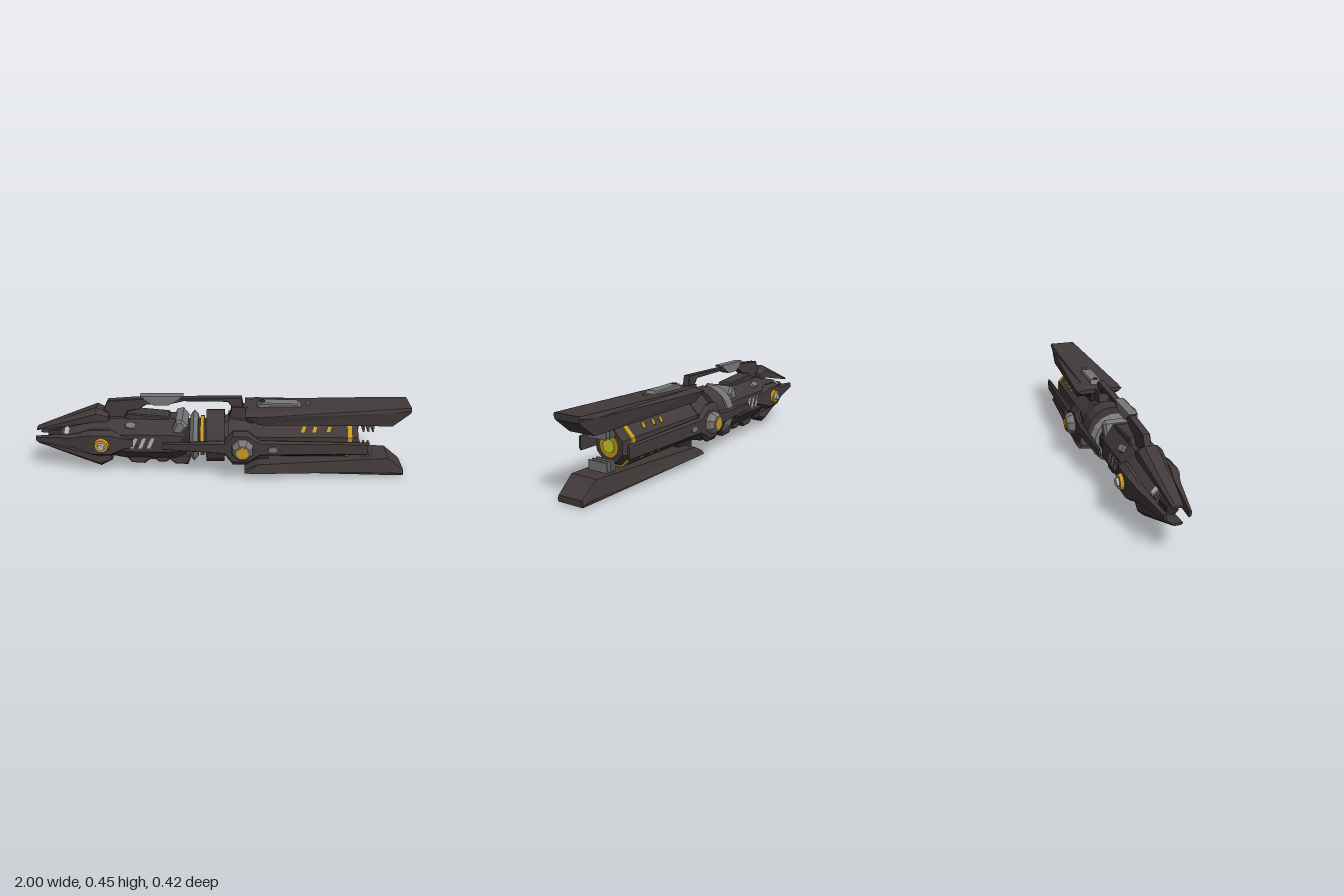
import * as THREE from 'three';

const mat = (name, color, both) => {
  const m = new THREE.MeshStandardMaterial({ color, flatShading: true });
  m.name = name;
  return m;
};

// Skin cross-sections [x, ring of [y, z]]; rings run from +y towards -z.
function loft(sections) {
  const pos = [];
  const P = (s, i) => { const r = s[1][i % s[1].length]; return [s[0], r[0], r[1]]; };
  const tri = (a, b, c) => pos.push(...a, ...b, ...c);
  const n = sections[0][1].length;
  for (let k = 0; k < sections.length - 1; k++) {
    const a = sections[k], b = sections[k + 1];
    for (let i = 0; i < n; i++) {
      tri(P(a, i), P(b, i), P(b, i + 1));
      tri(P(a, i), P(b, i + 1), P(a, i + 1));
    }
  }
  const first = sections[0], last = sections[sections.length - 1];
  for (let i = 1; i < n - 1; i++) {
    tri(P(first, 0), P(first, i), P(first, i + 1));
    tri(P(last, 0), P(last, i + 1), P(last, i));
  }
  const g = new THREE.BufferGeometry();
  g.setAttribute('position', new THREE.Float32BufferAttribute(pos, 3));
  g.computeVertexNormals();
  return g;
}

// Flat profile in x and y, extruded evenly either side of z = 0.
function slab(points, halfDepth, bevel = 0) {
  const shape = new THREE.Shape(points.map(p => new THREE.Vector2(p[0], p[1])));
  const g = new THREE.ExtrudeGeometry(shape, {
    depth: 2 * (halfDepth - bevel), bevelEnabled: bevel > 0,
    bevelThickness: bevel, bevelSize: bevel, bevelOffset: -bevel, bevelSegments: 1,
  });
  return g.translate(0, 0, bevel - halfDepth);
}

// Cylinder along x from x0 to x1, with a flat on top.
function drum(x0, x1, r0, r1 = r0, sides = 8) {
  return new THREE.CylinderGeometry(r1, r0, x1 - x0, sides)
    .rotateY(Math.PI / sides).rotateZ(-Math.PI / 2).translate((x0 + x1) / 2, 0, 0);
}

// Disc or cone stub along z.
const boss = (x, z0, z1, r0, r1, sides = 8) =>
  new THREE.CylinderGeometry(r1, r0, z1 - z0, sides).rotateY(Math.PI / sides)
    .rotateX(Math.PI / 2).translate(x, 0, (z0 + z1) / 2);

const box = (x, y, z, w, h, d) => new THREE.BoxGeometry(w, h, d).translate(x, y, z);

// Bevelled beam section: top, shoulder and underside as [y, half width].
const beam = (x, top, mid, low) => [x, [[top[0], top[1]], [top[0], -top[1]], [mid[0], -mid[1]],
  [low[0], -low[1]], [low[0], low[1]], [mid[0], mid[1]]]];

// Chamfered side plate section: half height h, inner z0, outer z1.
const plate = (x, h, z0, z1) => [x, [[h, z0 + (z1 - z0) * 0.4], [h, z0], [-h, z0],
  [-h, z0 + (z1 - z0) * 0.4], [-h * 0.75, z1], [h * 0.75, z1]]];

const octagon = (x, top, bottom, rz) => {
  const ring = [], c = Math.cos(Math.PI / 8);
  for (let i = 0; i < 8; i++) {
    const a = (i + 0.5) * Math.PI / 4;
    ring.push([(top + bottom) / 2 + (top - bottom) / 2 * Math.cos(a) / c, -rz * Math.sin(a) / c]);
  }
  return [x, ring];
};

export function createModel() {
  const dark = mat('dark metal', 0x423a3a);
  const black = mat('black metal', 0x2c2929);
  const gray = mat('gray metal', 0x777777);
  const light = mat('light gray', 0xb4b4b4);
  const gold = mat('gold', 0xc99a22);
  const bright = mat('bright yellow', 0xd2d228);

  const root = new THREE.Group();
  root.name = 'device';
  const body = new THREE.Group();
  body.name = 'body';
  body.position.y = 0.207; // everything below is measured from the long axis
  root.add(body);
  const add = (parent, name, geometry, material) => {
    const m = new THREE.Mesh(geometry, material);
    m.name = name;
    parent.add(m);
    return m;
  };
  // Two copies, the second turned half way round the long axis.
  const pair = (name, build) => {
    for (const turn of [0, Math.PI]) {
      const g = new THREE.Group();
      g.name = name;
      g.rotation.x = turn;
      build(g);
      body.add(g);
    }
  };

  // Grip and pommel core
  add(body, 'grip', loft([
    octagon(-0.87, 0.045, -0.045, 0.05), octagon(-0.7, 0.09, -0.085, 0.085),
    octagon(-0.6, 0.115, -0.105, 0.1), octagon(-0.5, 0.122, -0.125, 0.1),
    octagon(-0.24, 0.118, -0.125, 0.1), octagon(-0.19, 0.085, -0.1, 0.085)]), dark);
  add(body, 'pommelCore', drum(-0.94, -0.8, 0.03, 0.045), black);
  add(body, 'pommelRing', drum(-0.845, -0.82, 0.06, 0.062, 16), light);
  add(body, 'fingerRests', slab([[-0.53, -0.1], [-0.49, -0.15], [-0.42, -0.155], [-0.39, -0.13],
    [-0.36, -0.13], [-0.34, -0.145], [-0.3, -0.145], [-0.28, -0.13], [-0.25, -0.157],
    [-0.18, -0.16], [-0.16, -0.1]], 0.05, 0.008), dark);

  // Collars and barrel
  add(body, 'neck', drum(-0.22, 0.06, 0.095, 0.095, 12), black);
  add(body, 'grayCollar', drum(-0.165, -0.145, 0.115, 0.14, 16), gray);
  add(body, 'grayCollarRim', drum(-0.145, -0.122, 0.14, 0.115, 16), gray);
  add(body, 'goldBand', drum(-0.11, -0.09, 0.11, 0.11, 16), gold);
  add(body, 'mainCollar', drum(-0.078, 0.02, 0.14, 0.14, 16).scale(1, 1.04, 0.95), dark);
  add(body, 'barrelRoot', drum(0.04, 0.16, 0.135, 0.115), dark);
  add(body, 'barrel', drum(0.02, 0.675, 0.112), dark);
  add(body, 'muzzleBand', drum(0.675, 0.7, 0.114), gold);
  add(body, 'muzzle', drum(0.7, 0.735, 0.105, 0.085), dark);
  add(body, 'muzzleDisc', drum(0.732, 0.738, 0.055, 0.055, 16), gold);
  add(body, 'muzzleLens', drum(0.735, 0.743, 0.034, 0.034, 16), bright);
  for (let k = 0; k < 4; k++) {
    for (const x of [0.44, 0.5, 0.575]) {
      const slash = slab([[x - 0.014, -0.016], [x + 0.004, -0.016], [x + 0.014, 0.016], [x - 0.004, 0.016]], 0.003);
      add(body, 'barrelSlash', slash.translate(0, 0, 0.105), gold).rotation.x = Math.PI / 4 + k * Math.PI / 2;
    }
  }

  // Long upper and lower blades, with their pommel claws
  pair('bladeSet', g => {
    add(g, 'blade', loft([
      beam(0.13, [0.178, 0.075], [0.17, 0.125], [0.155, 0.11]),
      beam(0.2, [0.184, 0.08], [0.17, 0.128], [0.12, 0.115]),
      beam(0.91, [0.2, 0.078], [0.178, 0.085], [0.098, 0.075]),
      beam(1.0, [0.203, 0.072], [0.192, 0.078], [0.172, 0.07])]), dark);
    add(g, 'bladeInset', slab([[0.19, 0.18], [0.43, 0.186], [0.41, 0.203], [0.21, 0.207]], 0.032, 0.006), gray);
    add(g, 'insetHole', new THREE.CylinderGeometry(0.014, 0.014, 0.004, 8).translate(0.22, 0.208, 0), black);
    add(g, 'bladeStud', new THREE.CylinderGeometry(0.012, 0.014, 0.012, 8).translate(0.465, 0.191, 0), gray);
    add(g, 'bladeStrut', box(0.2, 0.125, 0, 0.12, 0.05, 0.1), black);
    for (const x of [0.765, 0.79, 0.815]) add(g, 'slat', box(x, 0.088, 0, 0.008, 0.07, 0.11), gray);
    add(g, 'pommelClaw', loft([
      beam(-1.0, [0.047, 0.015], [0.042, 0.025], [0.036, 0.025]),
      beam(-0.8, [0.125, 0.025], [0.105, 0.045], [0.075, 0.045]),
      beam(-0.665, [0.177, 0.03], [0.15, 0.058], [0.105, 0.058]),
      beam(-0.6, [0.142, 0.03], [0.13, 0.05], [0.1, 0.05])]), dark);
  });

  // Side fins, side claws and their round bosses
  pair('sideSet', g => {
    add(g, 'sideFin', loft([plate(-0.31, 0.02, 0.13, 0.14), plate(0.02, 0.037, 0.135, 0.157),
      plate(0.065, 0.1, 0.136, 0.164), plate(0.14, 0.1, 0.136, 0.164),
      plate(0.21, 0.044, 0.138, 0.162), plate(0.775, 0.036, 0.142, 0.152)]), dark);
    add(g, 'finMount', box(0.11, 0, 0.12, 0.1, 0.08, 0.05), black);
    add(g, 'finBoss', boss(0.115, 0.16, 0.188, 0.062, 0.056), gray);
    add(g, 'finBossCap', boss(0.115, 0.188, 0.204, 0.056, 0.042), gray);
    add(g, 'finBossDisc', boss(0.115, 0.2, 0.208, 0.031, 0.031, 16), gold);
    add(g, 'finStud', boss(0, -0.004, 0.005, 0.018, 0.016).scale(1.6, 1, 1).translate(0.275, 0, 0.162), gray);
    add(g, 'sideClaw', loft([plate(-1.0, 0.016, 0.05, 0.063), plate(-0.78, 0.042, 0.075, 0.105),
      plate(-0.69, 0.075, 0.085, 0.127), plate(-0.59, 0.075, 0.085, 0.127),
      plate(-0.53, 0.045, 0.085, 0.112), plate(-0.44, 0.02, 0.09, 0.1)]), dark);
    add(g, 'clawBoss', boss(-0.635, 0.122, 0.144, 0.042, 0.036, 16), gold);
    add(g, 'clawBossCap', boss(-0.635, 0.144, 0.157, 0.022, 0.018, 12), light);
    for (const x of [-0.465, -0.42, -0.375]) {
      add(g, 'gripSlash', slab([[x - 0.024, -0.03], [x - 0.004, -0.03], [x + 0.022, 0.03], [x + 0.002, 0.03]], 0.003)
        .translate(0, 0, 0.101), light);
    }
  });
  for (const s of [1, -1]) {
    const stud = add(body, 'gripStud', boss(0, -0.006, 0.006, 0.022, 0.018).scale(1.6, 1, 1), gray);
    stud.position.set(-0.48, 0.095, s * 0.076);
    stud.rotation.x = s > 0 ? -0.85 : Math.PI + 0.85;
  }

  // Guard rail above the grip
  add(body, 'guardRail', slab([[-0.63, 0.16], [-0.605, 0.21], [-0.45, 0.222], [0.11, 0.232], [0.12, 0.18],
    [0.06, 0.175], [0.035, 0.208], [-0.2, 0.21], [-0.28, 0.19], [-0.4, 0.188], [-0.44, 0.16],
    [-0.5, 0.15], [-0.52, 0.11], [-0.6, 0.11]], 0.019, 0.003), dark);
  add(body, 'railPlate', slab([[-0.43, 0.239], [-0.36, 0.187], [-0.28, 0.187], [-0.2, 0.24]], 0.022), gray);
  add(body, 'railFoot', slab([[0.04, 0.1], [0.15, 0.1], [0.14, 0.18], [0.06, 0.18]], 0.028), dark);
  add(body, 'railSaddle', slab([[-0.53, 0.1], [-0.26, 0.1], [-0.28, 0.13], [-0.5, 0.15]], 0.045, 0.006), dark);
  add(body, 'shoulderClamp', slab([[-0.265, 0.055], [-0.215, 0.045], [-0.175, 0.09], [-0.205, 0.13], [-0.24, 0.122]],
    0.09, 0.012), gray);
  return root;
}
